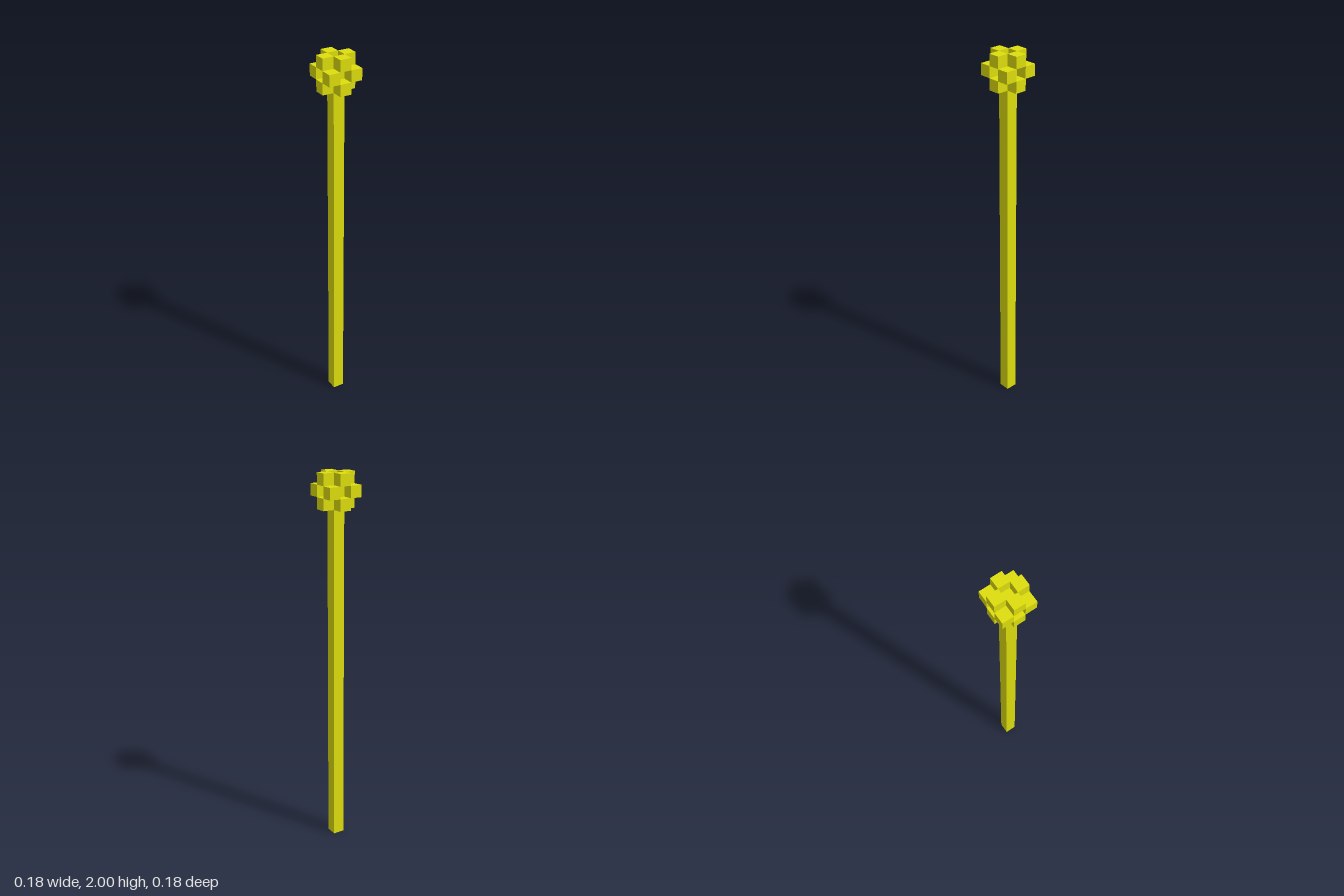
import * as THREE from 'three';

const CELL = 2 / 33; // edge of one cube; the whole model is 33 cubes tall

export function createModel() {
  const model = new THREE.Group();
  const yellow = new THREE.MeshStandardMaterial({ color: 0xdede0e, flatShading: true });

  // Square stem, running up into the core of the head
  const stemHeight = 32 * CELL;
  const stem = new THREE.Mesh(new THREE.BoxGeometry(CELL, stemHeight, CELL), yellow);
  stem.name = 'stem';
  stem.position.y = stemHeight / 2;
  model.add(stem);

  // Head: the twelve edge cubes of a 3 x 3 x 3 block, with corners and face centres left open
  const head = new THREE.Group();
  head.name = 'head';
  head.position.y = 31.5 * CELL;
  const cube = new THREE.BoxGeometry(CELL, CELL, CELL);
  for (let x = -1; x <= 1; x++) {
    for (let y = -1; y <= 1; y++) {
      for (let z = -1; z <= 1; z++) {
        if (Math.abs(x) + Math.abs(y) + Math.abs(z) !== 2) continue;
        const petal = new THREE.Mesh(cube, yellow);
        petal.name = 'headCube';
        petal.position.set(x, y, z).multiplyScalar(CELL);
        head.add(petal);
      }
    }
  }
  model.add(head);

  return model;
}
